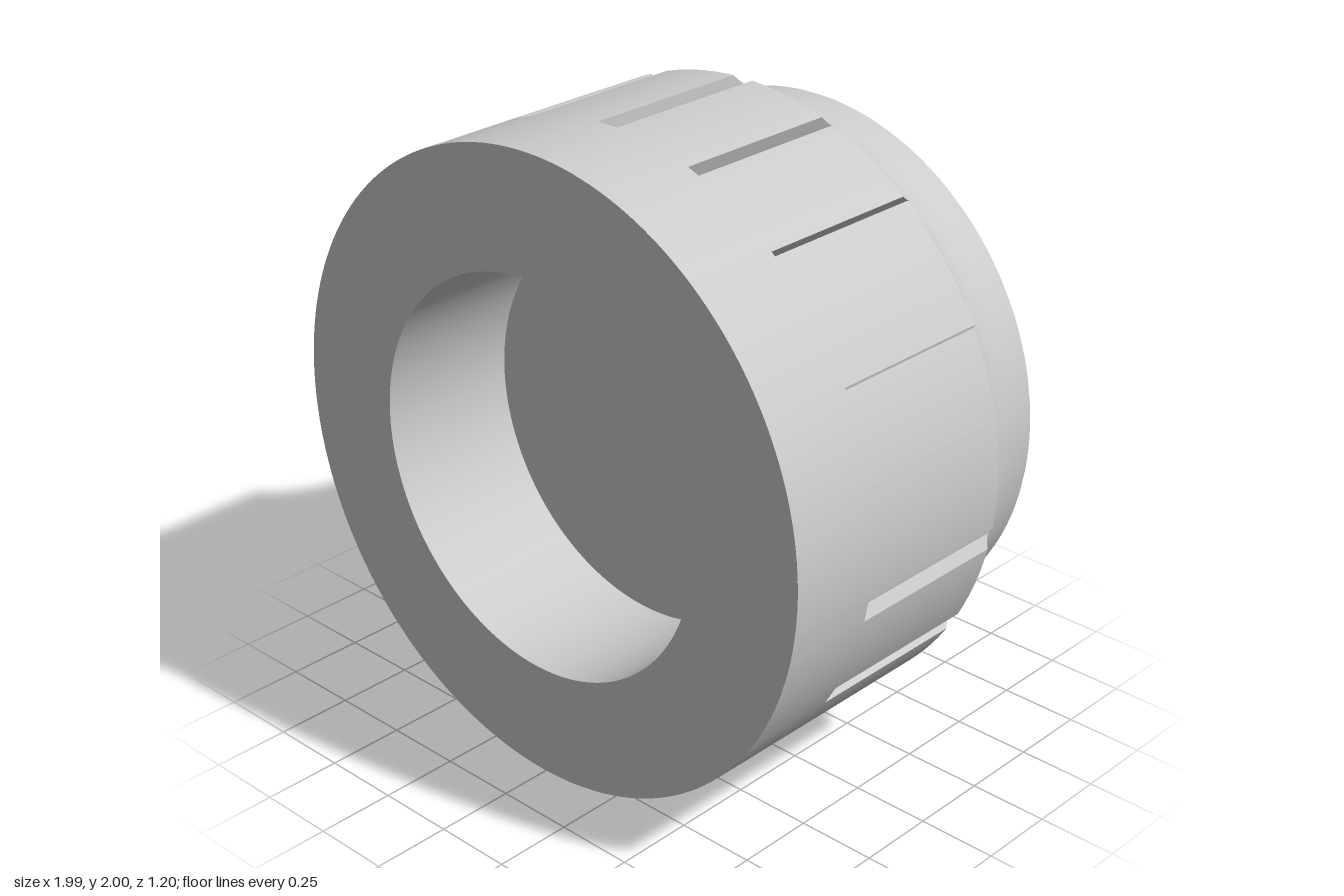
import * as THREE from 'three';
import { toCreasedNormals } from 'three/addons/utils/BufferGeometryUtils.js';

const R = 0.995, BACK_R = 0.87, FRONT_Z = 0.592, BACK_Z = -0.603;
const SLOTS = 18, SLOT_HALF = 0.037, SLOT_FLOOR = 0.945, SLOT_FRONT = 0.28;
const SHOULDER_Z = -0.28, ARC_STEPS = 10;

// Outline of the body at one depth: each sector is a straight-sided slot plus an arc.
function ring(r, z, slotted) {
  const points = [];
  const edge = Math.sqrt(r * r - SLOT_HALF * SLOT_HALF);
  const floor = slotted ? Math.min(SLOT_FLOOR, edge) : edge;
  const half = Math.asin(SLOT_HALF / r);
  const pitch = (2 * Math.PI) / SLOTS;
  for (let s = 0; s < SLOTS; s++) {
    const a = Math.PI / 2 + s * pitch;
    const put = (d, t) => points.push(new THREE.Vector3(
      d * Math.cos(a) - t * Math.sin(a), d * Math.sin(a) + t * Math.cos(a), z));
    put(edge, -SLOT_HALF);
    put(floor, -SLOT_HALF);
    put(floor, SLOT_HALF);
    put(edge, SLOT_HALF);
    for (let i = 1; i < ARC_STEPS; i++) {
      const b = half + (pitch - 2 * half) * (i / ARC_STEPS);
      put(r * Math.cos(b), r * Math.sin(b));
    }
  }
  return points;
}

// Skin a list of rings, leaving out triangles with no area.
function skin(rings) {
  const pos = [];
  const tri = new THREE.Triangle();
  const add = (a, b, c) => {
    if (tri.set(a, b, c).getArea() > 1e-9) pos.push(...a, ...b, ...c);
  };
  for (let i = 0; i < rings.length - 1; i++) {
    const p = rings[i], q = rings[i + 1], n = p.length;
    for (let j = 0; j < n; j++) {
      const k = (j + 1) % n;
      add(p[j], q[j], q[k]);
      add(p[j], q[k], p[k]);
    }
  }
  const geometry = new THREE.BufferGeometry();
  geometry.setAttribute('position', new THREE.Float32BufferAttribute(pos, 3));
  return toCreasedNormals(geometry, 0.45);
}

export function createModel() {
  const model = new THREE.Group();
  model.name = 'knob';
  const material = new THREE.MeshStandardMaterial({ color: 0xcccccc });
  const add = (name, geometry) => {
    const mesh = new THREE.Mesh(geometry, material);
    mesh.name = name;
    mesh.position.y = 2 - R;
    model.add(mesh);
    return mesh;
  };

  // Cylindrical grip, then a concave neck that ends parallel to the axis
  const rings = [
    ring(R, FRONT_Z, false),
    ring(R, SLOT_FRONT, false),
    ring(R, SLOT_FRONT, true),
  ];
  const length = SHOULDER_Z - BACK_Z, drop = R - BACK_R;
  const arcR = (length * length + drop * drop) / (2 * drop);
  const sweep = Math.asin(length / arcR);
  const NECK_STEPS = 20;
  for (let i = 0; i <= NECK_STEPS; i++) {
    const a = sweep * (1 - i / NECK_STEPS);
    rings.push(ring(BACK_R + arcR * (1 - Math.cos(a)), BACK_Z + arcR * Math.sin(a), true));
  }
  add('grip', skin(rings));

  // Slightly coned front face with a blind round recess
  const profile = [[R, FRONT_Z], [0.625, 0.602], [0.625, 0.13], [0, 0.13]]
    .map(([x, y]) => new THREE.Vector2(x, y));
  const front = new THREE.LatheGeometry(profile, 180);
  front.rotateX(Math.PI / 2);
  add('frontFaceAndRecess', toCreasedNormals(front, 0.45));

  // Flat back
  const back = new THREE.CircleGeometry(BACK_R, 180);
  back.rotateY(Math.PI);
  back.translate(0, 0, BACK_Z);
  add('backFace', back);

  // Small triangular pointer under the grip, its tip towards the front
  const triangle = new THREE.Shape([[-0.08, 0.4], [0.08, 0.4], [0, 0.585]]
    .map(([x, y]) => new THREE.Vector2(x, y)));
  const pointer = new THREE.ExtrudeGeometry(triangle, { depth: 0.03, bevelEnabled: false });
  pointer.rotateX(Math.PI / 2);
  add('pointerMark', pointer).position.y = 0.03;

  return model;
}
